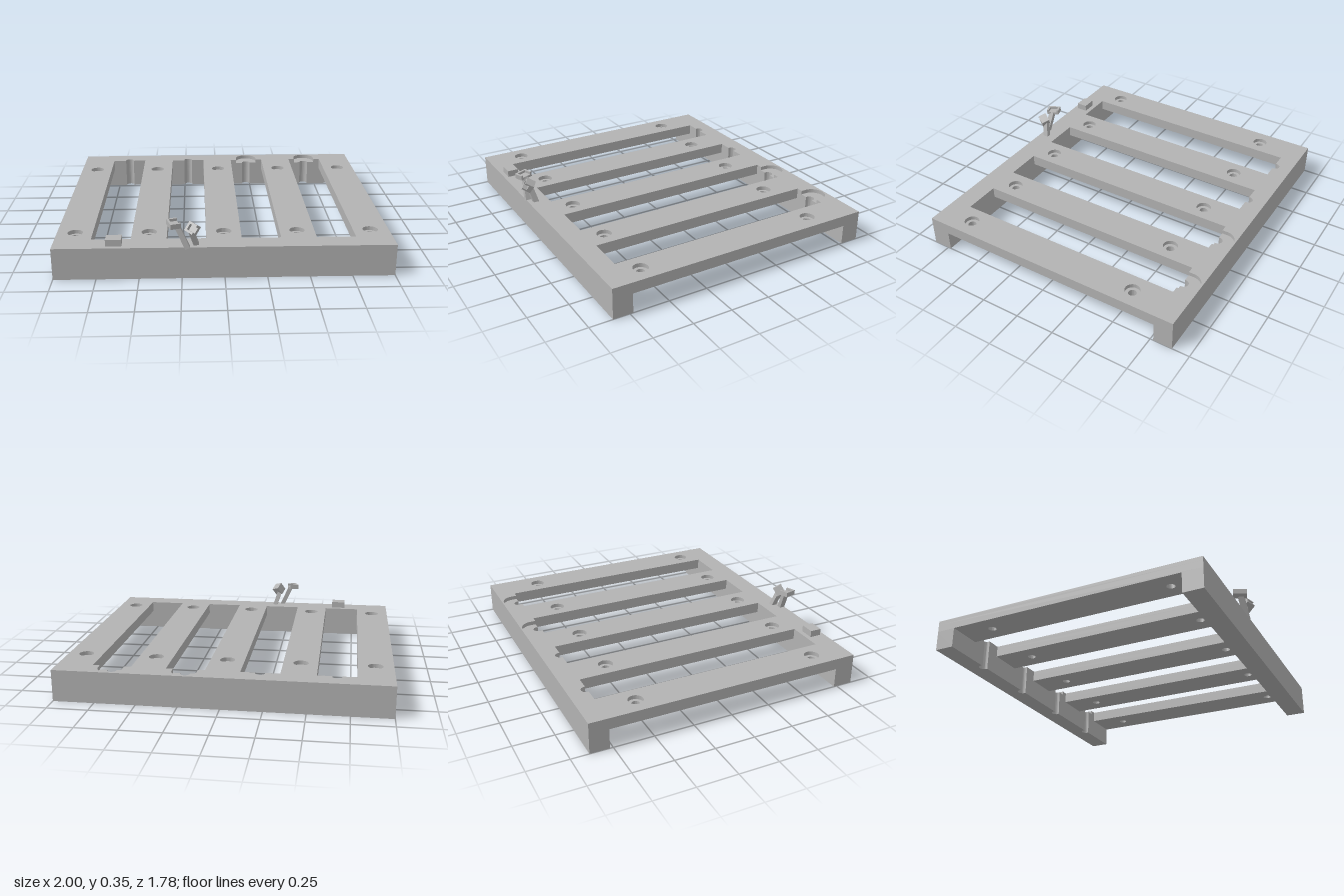
import * as THREE from 'three';
import { toCreasedNormals } from 'three/addons/utils/BufferGeometryUtils.js';

const FRONT = 0.855, BACK = -0.89, TOP = 0.195, STEP = 0.17, UNDER = 0.125;
const SLOT_FRONT = 0.725, SLOT_BACK = -0.77;
const slots = [-0.668, -0.223, 0.22, 0.665];
const screwX = [-0.89, -0.447, 0, 0.443, 0.888], screwZ = [-0.565, 0.62];

export function createModel() {
  const model = new THREE.Group();
  model.name = 'slottedRack';
  const grey = new THREE.MeshStandardMaterial({ color: 0xb2b2b2 });
  grey.name = 'grey';

  const add = (name, geometry, parent = model) => {
    const mesh = new THREE.Mesh(geometry, grey);
    mesh.name = name;
    parent.add(mesh);
    return mesh;
  };
  // Raise a plan shape, drawn as (x, -z), between two heights
  const slab = (name, shape, y0, y1) => {
    const g = new THREE.ExtrudeGeometry(shape, { depth: y1 - y0, bevelEnabled: false, curveSegments: 20 });
    g.rotateX(-Math.PI / 2).translate(0, y0, 0);
    return add(name, toCreasedNormals(g, 0.6));
  };
  const rectangle = (x0, x1, zBack, zFront) => new THREE.Shape()
    .moveTo(x0, -zFront).lineTo(x1, -zFront).lineTo(x1, -zBack).lineTo(x0, -zBack).closePath();

  // Long slot with a round bay in its back end
  const slotHole = (x, bayRadius, bayZ) => {
    const p = new THREE.Path();
    p.moveTo(x - 0.117, -SLOT_FRONT).lineTo(x + 0.117, -SLOT_FRONT).lineTo(x + 0.117, -SLOT_BACK);
    p.lineTo(x + bayRadius, -SLOT_BACK);
    p.absarc(x, -bayZ, bayRadius, 0, Math.PI, false);
    p.lineTo(x - bayRadius, -SLOT_BACK).lineTo(x - 0.117, -SLOT_BACK).closePath();
    return p;
  };
  const deckShape = (holeRadius, recessed) => {
    const s = rectangle(-1, 1, BACK, FRONT);
    slots.forEach((x, i) => s.holes.push(
      recessed && i > 1 ? slotHole(x, 0.075, -0.805) : slotHole(x, 0.029, -0.777)));
    for (const x of screwX) for (const z of screwZ) {
      s.holes.push(new THREE.Path().absarc(x, -z, holeRadius, 0, Math.PI * 2, true));
    }
    return s;
  };

  // Deck in two layers, giving the counterbores and shallow recesses
  slab('deckTop', deckShape(0.046, true), STEP, TOP);
  slab('deckBase', deckShape(0.025, false), UNDER, STEP);

  // Feet: plain front rail, notched back rail
  slab('frontRail', rectangle(-1, 1, 0.73, FRONT), 0, UNDER);
  const rail = new THREE.Shape().moveTo(-1, -SLOT_BACK);
  for (const x of slots) {
    rail.lineTo(x - 0.029, -SLOT_BACK);
    rail.absarc(x, 0.777, 0.029, Math.PI, 0, true);
    rail.lineTo(x + 0.029, -SLOT_BACK);
  }
  rail.lineTo(1, -SLOT_BACK).lineTo(1, -BACK).lineTo(-1, -BACK).closePath();
  slab('backRail', rail, 0, UNDER);

  // Small stop block on the front edge
  slab('stopBlock', rectangle(-0.69, -0.598, 0.755, 0.828), TOP, 0.237);

  // Leaning levers with forked heads
  const lever = (name, foot, tip, headAt, headTurn, [w, h, d]) => {
    const group = new THREE.Group();
    group.name = name;
    const a = new THREE.Vector3(...foot), b = new THREE.Vector3(...tip);
    const dir = b.clone().sub(a);
    const stem = add('stem', new THREE.BoxGeometry(0.03, dir.length(), 0.035), group);
    stem.position.copy(a).add(b).multiplyScalar(0.5);
    stem.quaternion.setFromUnitVectors(new THREE.Vector3(0, 1, 0), dir.normalize());
    const head = new THREE.Group();
    head.name = 'head';
    const t = 0.013;
    add('headPlate', new THREE.BoxGeometry(w, h, d * 0.5), head).position.z = -d * 0.25;
    for (const s of [-1, 1]) {
      add('prong', new THREE.BoxGeometry(w, t, d), head).position.y = s * (h - t) / 2;
    }
    add('bridge', new THREE.BoxGeometry(t, h, d), head).position.x = -(w - t) / 2;
    head.position.set(...headAt);
    head.rotation.set(...headTurn, 'YXZ');
    group.add(head);
    model.add(group);
  };
  lever('leftLever', [-0.215, 0.185, 0.84], [-0.277, 0.325, 0.828],
    [-0.295, 0.333, 0.828], [-1.5, 0.28, 0.05], [0.062, 0.085, 0.032]);
  lever('rightLever', [-0.162, 0.185, 0.805], [-0.195, 0.29, 0.83],
    [-0.186, 0.305, 0.838], [-0.55, -0.42, -0.35], [0.056, 0.062, 0.06]);

  return model;
}
